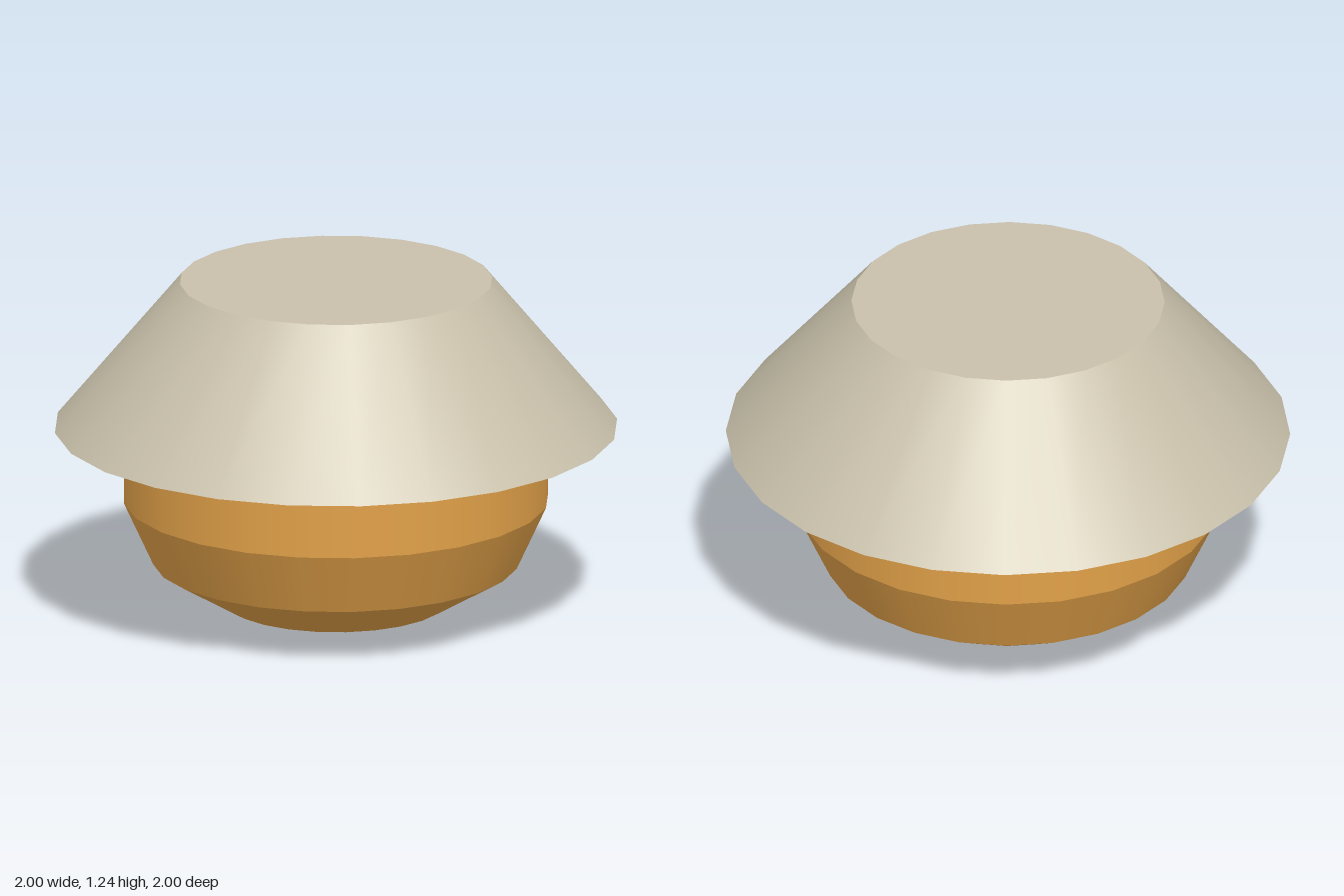
import * as THREE from 'three';

const SIDES = 24;

export function createModel() {
  const model = new THREE.Group();
  const shadeMat = new THREE.MeshStandardMaterial({ color: 0xc8c0aa, side: THREE.DoubleSide });
  shadeMat.name = 'pale stone';
  const bodyMat = new THREE.MeshStandardMaterial({ color: 0xe0a048, side: THREE.DoubleSide });
  bodyMat.name = 'amber';

  // Open conical band between two [radius, height] rings
  const band = (name, [r0, y0], [r1, y1], material, parent) => {
    const mesh = new THREE.Mesh(new THREE.CylinderGeometry(r1, r0, y1 - y0, SIDES, 1, true), material);
    mesh.position.y = (y0 + y1) / 2;
    mesh.name = name;
    parent.add(mesh);
  };

  // Flat horizontal disc whose corners line up with the bands
  const disc = (name, r, y, material, parent) => {
    const mesh = new THREE.Mesh(new THREE.CircleGeometry(r, SIDES).rotateX(-Math.PI / 2), material);
    mesh.position.y = y;
    mesh.name = name;
    parent.add(mesh);
  };

  // Hollow hood, open underneath
  const hood = new THREE.Group();
  hood.name = 'hood';
  band('hoodSide', [1, 0.705], [0.555, 1.243], shadeMat, hood);
  disc('hoodTop', 0.555, 1.243, shadeMat, hood);
  model.add(hood);

  // Rounded bowl built from creased bands, bottom to top
  const bowl = new THREE.Group();
  bowl.name = 'bowl';
  const rings = [[0, 0], [0.397, 0.06], [0.65, 0.21], [0.755, 0.44], [0.755, 0.718]];
  for (let i = 0; i < rings.length - 1; i++) {
    band(`bowlBand${i + 1}`, rings[i], rings[i + 1], bodyMat, bowl);
  }
  disc('bowlLid', 0.755, 0.718, bodyMat, bowl);
  model.add(bowl);

  return model;
}
